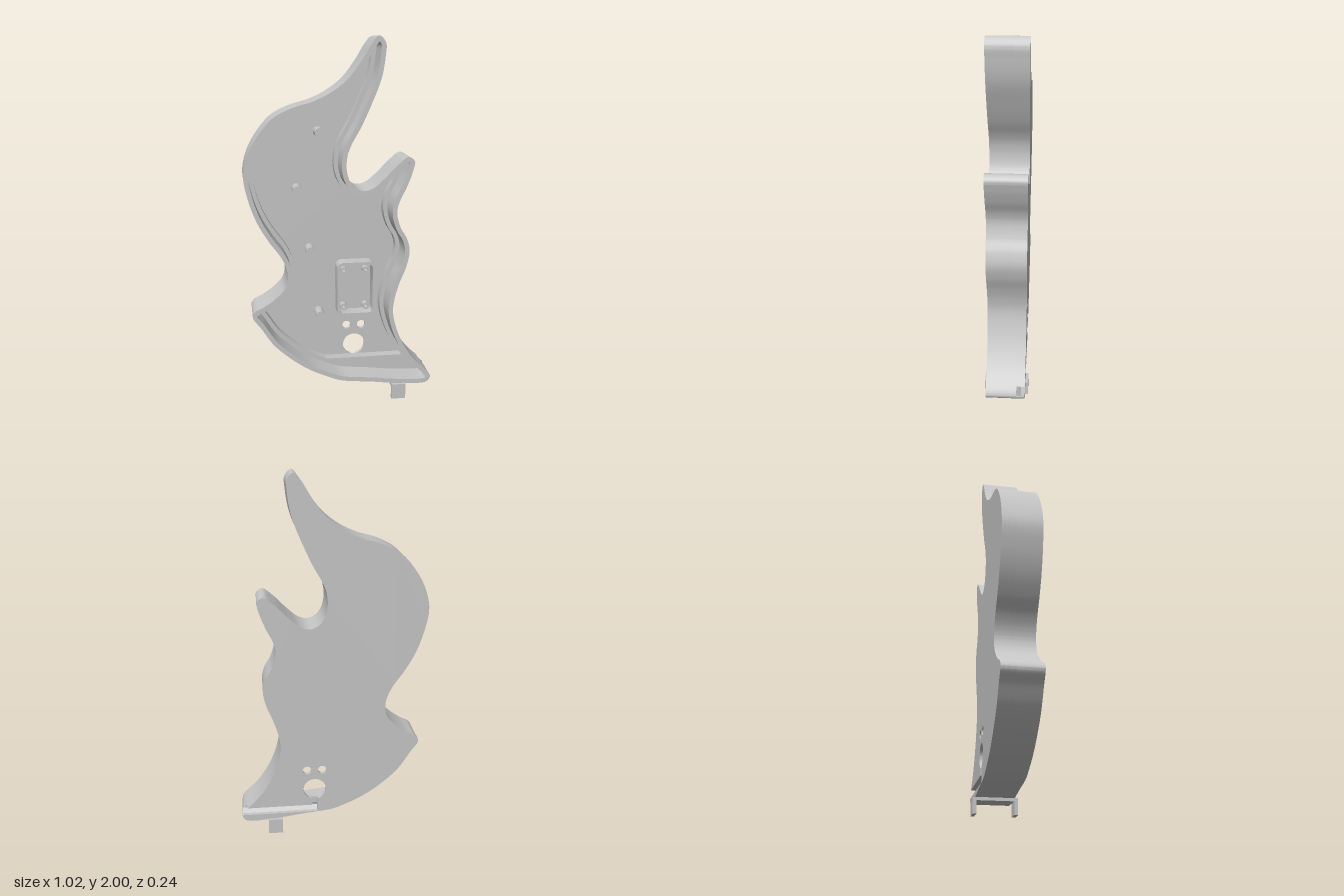
import * as THREE from 'three';
import { toCreasedNormals } from 'three/addons/utils/BufferGeometryUtils.js';

const BACK = -0.106, FLOOR = -0.085, GROOVE = -0.06, LEDGE = -0.03, FRONT = 0.106;

// Body silhouette, clockwise from the upper horn tip
const OUTLINE = [
  [0.19, 2], [0.225, 1.965], [0.224, 1.9], [0.205, 1.79], [0.155, 1.66], [0.1, 1.54], [0.05, 1.45],
  [0.03, 1.395], [0.025, 1.325], [0.042, 1.26], [0.077, 1.22], [0.12, 1.205], [0.17, 1.22],
  [0.23, 1.27], [0.3, 1.34], [0.357, 1.38], [0.39, 1.357], [0.383, 1.31], [0.35, 1.22], [0.312, 1.14],
  [0.3, 1.08], [0.32, 1], [0.357, 0.935], [0.373, 0.865], [0.357, 0.78], [0.32, 0.685],
  [0.295, 0.6], [0.287, 0.52], [0.31, 0.415], [0.357, 0.31], [0.42, 0.22], [0.5, 0.14],
  [0.51, 0.115], [0.49, 0.086], [0.325, 0.088], [0.167, 0.108], [0, 0.128], [-0.07, 0.153],
  [-0.177, 0.204], [-0.283, 0.278], [-0.373, 0.363], [-0.44, 0.463], [-0.484, 0.53],
  [-0.47, 0.56], [-0.415, 0.59], [-0.35, 0.638], [-0.307, 0.685], [-0.292, 0.745], [-0.3, 0.8],
  [-0.33, 0.865], [-0.39, 0.95], [-0.447, 1.05], [-0.49, 1.17], [-0.512, 1.3], [-0.484, 1.415],
  [-0.426, 1.515], [-0.352, 1.595], [-0.257, 1.643], [-0.15, 1.675], [-0.056, 1.72],
  [0.034, 1.79], [0.103, 1.88], [0.156, 1.965],
];

const v2 = (x, y) => new THREE.Vector2(x, y);

function sampleOutline() {
  const curve = new THREE.CatmullRomCurve3(
    OUTLINE.map(([x, y]) => new THREE.Vector3(x, y, 0)), true, 'centripetal');
  return curve.getPoints(OUTLINE.length * 8).slice(0, -1).map((p) => v2(p.x, p.y));
}

// Distance from a point to a closed polygon's edges
function edgeDistance(p, poly) {
  let best = Infinity;
  poly.forEach((a, i) => {
    const ab = poly[(i + 1) % poly.length].clone().sub(a);
    const t = THREE.MathUtils.clamp(p.clone().sub(a).dot(ab) / ab.lengthSq(), 0, 1);
    best = Math.min(best, p.distanceTo(a.clone().addScaledVector(ab, t)));
  });
  return best;
}

// Inward offset of the clockwise outline, dropping points that cross over in the tips
function inset(poly, d) {
  const n = poly.length;
  return poly.map((p, i) => {
    const t = poly[(i + 1) % n].clone().sub(poly[(i + n - 1) % n]).normalize();
    return v2(p.x + t.y * d, p.y - t.x * d);
  }).filter((p) => edgeDistance(p, poly) > d * 0.97);
}

// Replaces the lower right edge by a groove that runs inward along the given path
function cutGroove(poly, path) {
  const cut = (p) => p.x > 0.4 && p.y > 0.119 && p.y < 0.161;
  const first = poly.findIndex(cut);
  const out = poly.filter((p) => !cut(p));
  out.splice(first, 0, v2(0.481, 0.161), ...path, v2(0.509, 0.119));
  return out;
}

const circle = (x, y, r) => new THREE.Path().absarc(x, y, r, 0, Math.PI * 2).getPoints(32);

function roundedRect(x0, y0, x1, y1, r) {
  const path = new THREE.Path();
  path.absarc(x1 - r, y1 - r, r, 0, Math.PI / 2);
  path.absarc(x0 + r, y1 - r, r, Math.PI / 2, Math.PI);
  path.absarc(x0 + r, y0 + r, r, Math.PI, Math.PI * 1.5);
  path.absarc(x1 - r, y0 + r, r, Math.PI * 1.5, Math.PI * 2);
  return path.getPoints(8);
}

// Copy of a point loop in the wanted winding
function wind(points, clockwise) {
  const copy = points.slice();
  return THREE.ShapeUtils.isClockWise(copy) === clockwise ? copy : copy.reverse();
}

export function createModel() {
  const model = new THREE.Group();
  const plastic = new THREE.MeshStandardMaterial({ color: 0xc6c6c6 });
  plastic.name = 'grey plastic';

  const add = (name, geometry, parent = model) => {
    const mesh = new THREE.Mesh(geometry, plastic);
    mesh.name = name;
    parent.add(mesh);
  };
  const slab = (name, outline, holes, z0, z1, parent) => {
    const shape = new THREE.Shape(wind(outline, false));
    shape.holes = holes.map((h) => new THREE.Path(wind(h, true)));
    const g = new THREE.ExtrudeGeometry(shape, { depth: z1 - z0, bevelEnabled: false });
    g.translate(0, 0, z0);
    add(name, toCreasedNormals(g, 0.6), parent);
  };
  const box = (name, x0, x1, y0, y1, z0, z1, parent) => {
    const g = new THREE.BoxGeometry(x1 - x0, y1 - y0, z1 - z0);
    g.translate((x0 + x1) / 2, (y0 + y1) / 2, (z0 + z1) / 2);
    add(name, g, parent);
  };

  const outer = sampleOutline();
  const lipInner = inset(outer, 0.025);
  const floorEdge = inset(outer, 0.048).filter((p) => p.y > 0.198);

  // Back plate: the groove opens through a short slot into the large round hole
  const hole = { x: 0.1, y: 0.262, r: 0.063 };
  const slotPath = [v2(0.115, 0.161)];
  for (let i = 0; i <= 40; i++) {
    const a = -Math.PI / 2 + 0.24 + (i / 40) * (Math.PI * 2 - 0.48);
    slotPath.push(v2(hole.x + hole.r * Math.cos(a), hole.y + hole.r * Math.sin(a)));
  }
  slotPath.push(v2(0.085, 0.119));
  slab('backPlate', cutGroove(outer, slotPath),
    [circle(0.057, 0.381, 0.024), circle(0.142, 0.381, 0.024)], BACK, FLOOR);

  // Lower wall with the bottom block, first grooved and then whole up to the ledge
  const groovePath = [v2(0.085, 0.161), v2(0.085, 0.119)];
  slab('groovedWall', cutGroove(outer, groovePath), [floorEdge], FLOOR, GROOVE);
  slab('ledgeWall', outer, [floorEdge], GROOVE, LEDGE);

  // Slanted sides that bring the groove to a point
  for (const [y, x1] of [[0.161, 0.481], [0.119, 0.508]]) {
    const side = wind([v2(-GROOVE, y), v2(-GROOVE, 0.14), v2(-FLOOR, y)], false);
    const g = new THREE.ExtrudeGeometry(new THREE.Shape(side), { depth: x1 - 0.085, bevelEnabled: false });
    g.rotateY(Math.PI / 2).translate(0.085, 0, 0);
    add('grooveSide', g);
  }

  // Thin outer lip
  slab('outerLip', outer, [lipInner], LEDGE, FRONT);

  // Support posts
  for (const [x, y] of [[-0.104, 1.504], [-0.223, 1.197], [-0.155, 0.855], [-0.104, 0.48]]) {
    const g = new THREE.CylinderGeometry(0.025, 0.025, 0.09, 24);
    g.rotateX(Math.PI / 2).translate(x, y, FLOOR + 0.045);
    add('post', g);
  }

  // Compartment frame with four screw bosses
  const compartment = new THREE.Group();
  compartment.name = 'compartment';
  model.add(compartment);
  slab('compartmentFrame', roundedRect(-0.008, 0.467, 0.208, 0.779, 0.035),
    [roundedRect(0.007, 0.482, 0.193, 0.764, 0.022)], FLOOR, -0.005, compartment);
  for (const x of [0.036, 0.163]) {
    for (const y of [0.506, 0.723]) {
      slab('screwBoss', circle(x, y, 0.02), [circle(x, y, 0.009)], FLOOR, -0.045, compartment);
    }
  }

  // Clip under the body
  const clip = new THREE.Group();
  clip.name = 'clip';
  model.add(clip);
  box('clipBar', 0.284, 0.364, 0.07, 0.087, -0.101, 0.101, clip);
  for (const s of [-1, 1]) {
    box('clipLeg', 0.284, 0.364, 0, 0.087, s * 0.111 - 0.01, s * 0.111 + 0.01, clip);
  }
  return model;
}
